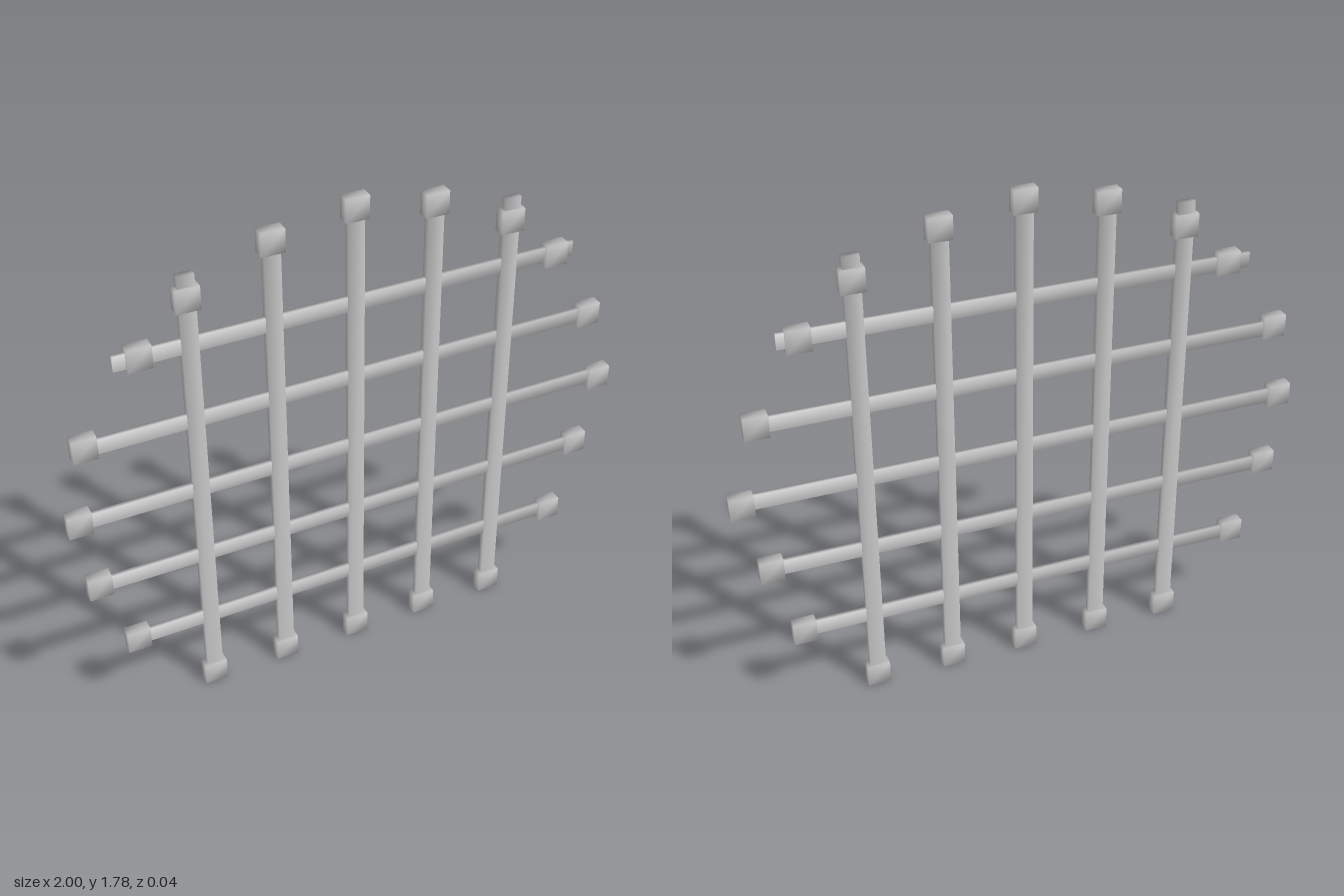
import * as THREE from 'three';
import { mergeVertices } from 'three/addons/utils/BufferGeometryUtils.js';

const material = new THREE.MeshStandardMaterial({ color: 0xcccccc });

// Box with shared corners, so the shading runs smoothly round its edges
function softBox(name, w, h, d, x, y) {
  let geometry = new THREE.BoxGeometry(w, h, d);
  geometry.deleteAttribute('normal');
  geometry.deleteAttribute('uv');
  geometry = mergeVertices(geometry);
  geometry.computeVertexNormals();
  const mesh = new THREE.Mesh(geometry, material);
  mesh.name = name;
  mesh.position.set(x, y, 0);
  return mesh;
}

const WIDTH = 0.056; // bar width
const CAP = 0.08; // cap side
const CAP_DEPTH = 0.042;

export function createModel() {
  const model = new THREE.Group();
  model.name = 'barGrille';

  // Upright bars: x, bar top, centre of top cap
  const uprights = [
    [-0.553, 1.652, 1.57],
    [-0.278, 1.70, 1.694],
    [0, 1.75, 1.741],
    [0.274, 1.70, 1.694],
    [0.552, 1.652, 1.57],
  ];
  uprights.forEach(([x, top, capY], i) => {
    const bar = new THREE.Group();
    bar.name = `uprightBar${i + 1}`;
    bar.add(
      softBox('uprightRod', WIDTH, top - 0.03, 0.024, x, (top + 0.03) / 2),
      softBox('topCap', CAP, CAP, CAP_DEPTH, x, capY),
      softBox('bottomCap', CAP, CAP, CAP_DEPTH, x, CAP / 2),
    );
    model.add(bar);
  });

  // Cross bars: y, bar ends, then x and y of the two caps
  const crossbars = [
    [1.407, -0.797, 0.797, -0.716, 1.41, 0.73, 1.403],
    [1.13, -0.91, 0.88, -0.914, 1.137, 0.885, 1.13],
    [0.856, -0.96, 0.95, -0.96, 0.857, 0.957, 0.848],
    [0.58, -0.92, 0.88, -0.922, 0.583, 0.885, 0.58],
    [0.302, -0.81, 0.79, -0.815, 0.304, 0.797, 0.298],
  ];
  crossbars.forEach(([y, x0, x1, capX0, capY0, capX1, capY1], i) => {
    const bar = new THREE.Group();
    bar.name = `crossBar${i + 1}`;
    bar.add(
      softBox('crossRod', x1 - x0, 0.053, 0.016, (x0 + x1) / 2, y),
      softBox('rightCap', CAP, CAP, CAP_DEPTH, capX0, capY0),
      softBox('leftCap', CAP, CAP, CAP_DEPTH, capX1, capY1),
    );
    model.add(bar);
  });

  return model;
}
